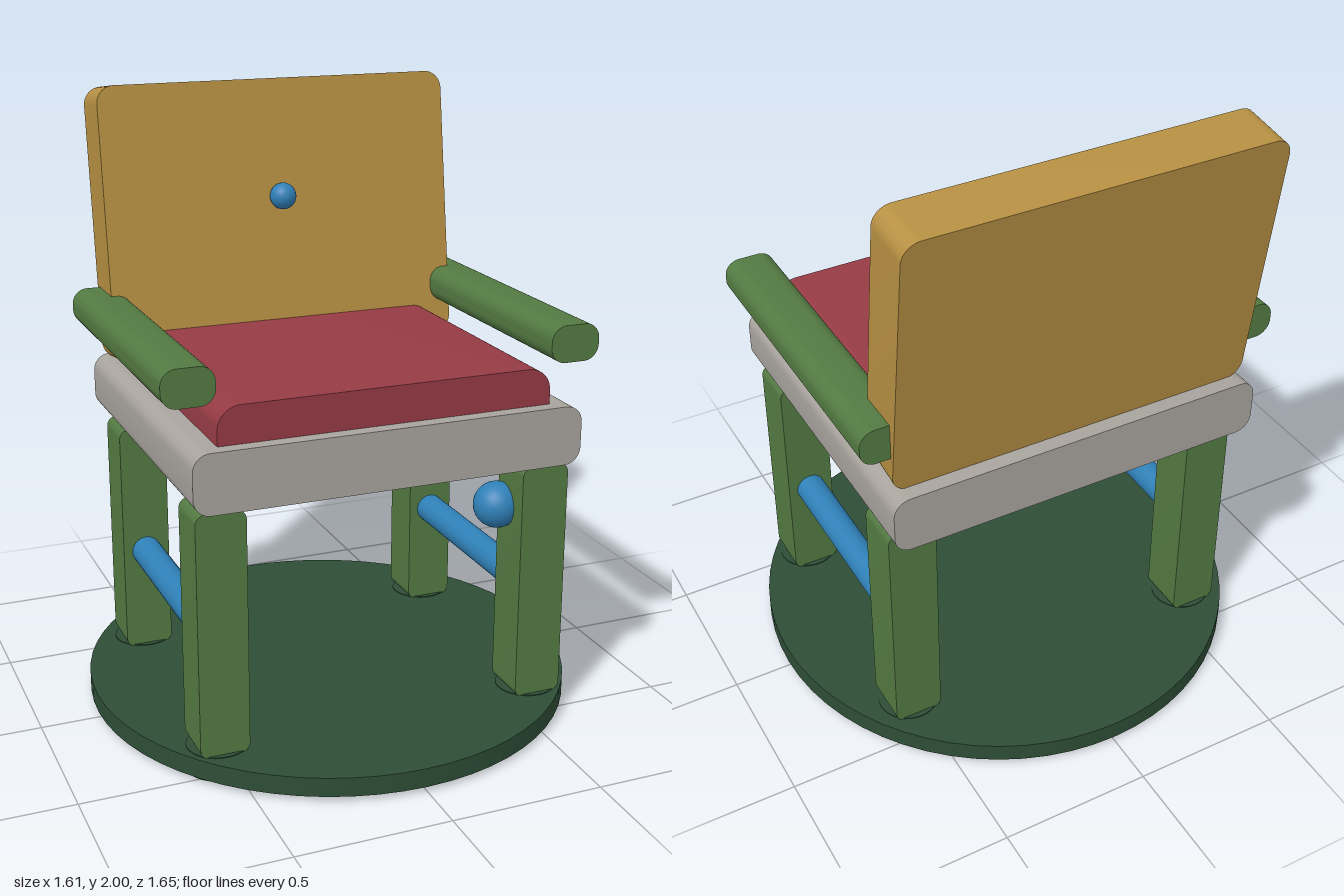
import * as THREE from 'three';
import { toCreasedNormals } from 'three/addons/utils/BufferGeometryUtils.js';

const paint = (name, color) => {
  const m = new THREE.MeshStandardMaterial({ color });
  m.name = name;
  return m;
};

// Rounded rectangle (top and bottom corner radii) extruded along z, centred on the origin
function roundedSlab(w, h, d, rTop, rBottom = rTop) {
  const x = w / 2, y = h / 2, a = rTop, b = rBottom;
  const s = new THREE.Shape();
  s.moveTo(-x + b, -y);
  s.lineTo(x - b, -y);
  if (b) s.absarc(x - b, -y + b, b, -Math.PI / 2, 0);
  s.lineTo(x, y - a);
  s.absarc(x - a, y - a, a, 0, Math.PI / 2);
  s.lineTo(-x + a, y);
  s.absarc(-x + a, y - a, a, Math.PI / 2, Math.PI);
  s.lineTo(-x, -y + b);
  if (b) s.absarc(-x + b, -y + b, b, Math.PI, Math.PI * 1.5);
  const g = new THREE.ExtrudeGeometry(s, { depth: d, bevelEnabled: false, curveSegments: 8 });
  g.translate(0, 0, -d / 2);
  return toCreasedNormals(g, 0.5);
}

export function createModel() {
  const model = new THREE.Group();
  model.name = 'chair';
  const gold = paint('gold', 0xb68f42);
  const red = paint('red', 0x963b45);
  const grey = paint('warm grey', 0xa8a39d);
  const green = paint('green', 0x537a42);
  const darkGreen = paint('dark green', 0x2d4d36);
  const blue = paint('blue', 0x2f80b7);

  const add = (name, geometry, material, x, y, z) => {
    const mesh = new THREE.Mesh(geometry, material);
    mesh.name = name;
    mesh.position.set(x, y, z);
    model.add(mesh);
    return mesh;
  };

  // Slightly oval base plate
  add('base', new THREE.CylinderGeometry(1, 1, 0.063, 64), darkGreen, 0, 0.0475, 0).scale.set(0.807, 1, 0.826);

  // Seat and cushion
  add('seat', roundedSlab(1.272, 0.192, 1.124, 0.055), grey, 0, 0.981, 0);
  add('cushion', roundedSlab(1.09, 0.14, 1.015, 0.075, 0), red, 0, 1.127, 0.008);

  // Reclined backrest and its button
  add('backrest', roundedSlab(1.23, 0.914, 0.176, 0.06), gold, 0, 1.5375, -0.485).rotation.x = -0.138;
  add('backButton', new THREE.SphereGeometry(0.045, 24, 16), blue, 0, 1.615, -0.386);

  // Parts repeated on both sides
  const arm = roundedSlab(0.166, 0.12, 1.03, 0.05);
  const leg = roundedSlab(0.16, 0.8, 0.162, 0.032);
  const pad = new THREE.CylinderGeometry(0.099, 0.099, 0.082, 32);
  const rail = new THREE.CylinderGeometry(0.05, 0.05, 0.72, 24).rotateX(Math.PI / 2);
  for (const [side, s] of [['left', 1], ['right', -1]]) {
    add(side + 'Armrest', arm, green, s * 0.628, 1.265, 0.002);
    add(side + 'Stretcher', rail, blue, s * 0.54, 0.43, 0.022);
    for (const [end, z] of [['Front', 0.44], ['Back', -0.395]]) {
      add(side + end + 'Leg', leg, green, s * 0.54, 0.475, z);
      add(side + end + 'FootPad', pad, darkGreen, s * 0.54, 0.046 - 0.005, z);
    }
  }

  // Ball on the inside of the left front leg
  add('legBall', new THREE.SphereGeometry(0.076, 32, 20), blue, 0.435, 0.715, 0.395);

  return model;
}
